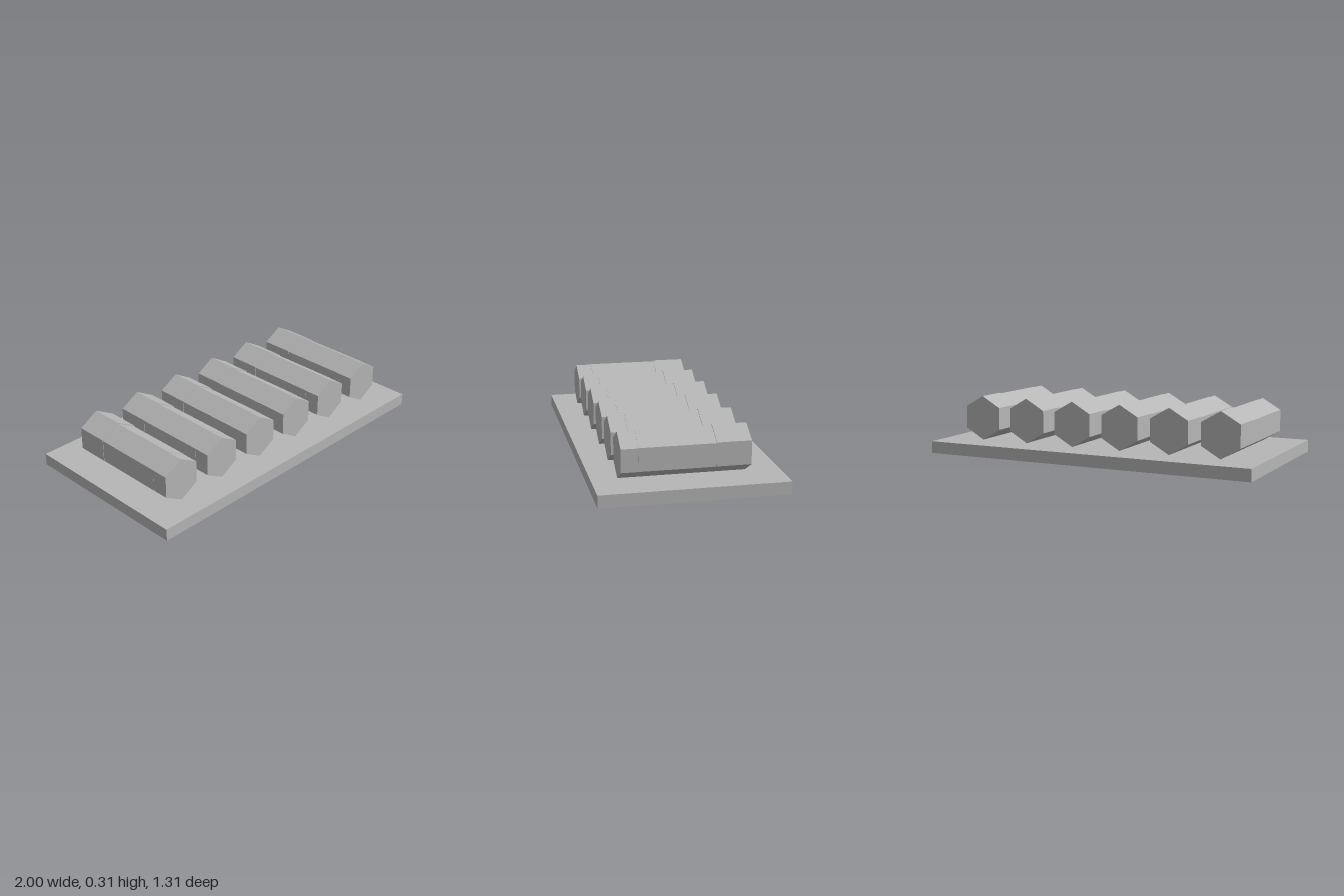
import * as THREE from 'three';

export function createModel() {
  const grey = new THREE.MeshStandardMaterial({ color: 0xb6b6b6, flatShading: true });
  grey.name = 'grey';

  const model = new THREE.Group();
  model.name = 'ribbedPlate';
  model.rotation.y = THREE.MathUtils.degToRad(12);

  // Base plate
  const plateHeight = 0.065;
  const plate = new THREE.Mesh(new THREE.BoxGeometry(1.84, plateHeight, 0.946), grey);
  plate.name = 'basePlate';
  plate.position.y = plateHeight / 2;
  model.add(plate);

  // Hexagonal bars, each in three lengths that thicken slightly towards the back
  const sections = [
    { name: 'frontSection', z0: 0.254, z1: 0.341, r: 0.1175 },
    { name: 'middleSection', z0: -0.128, z1: 0.254, r: 0.1185 },
    { name: 'backSection', z0: -0.302, z1: -0.128, r: 0.121 },
  ].map((s) => ({
    ...s,
    geometry: new THREE.CylinderGeometry(s.r, s.r, s.z1 - s.z0, 6).rotateX(Math.PI / 2),
  }));

  for (let i = 0; i < 6; i++) {
    const bar = new THREE.Group();
    bar.name = `hexBar${i + 1}`;
    bar.position.set((i - 2.5) * 0.279, plateHeight, 0);
    for (const s of sections) {
      const mesh = new THREE.Mesh(s.geometry, grey);
      mesh.name = s.name;
      mesh.position.set(0, s.r, (s.z0 + s.z1) / 2);
      bar.add(mesh);
    }
    model.add(bar);
  }

  const root = new THREE.Group();
  root.add(model);
  return root;
}
